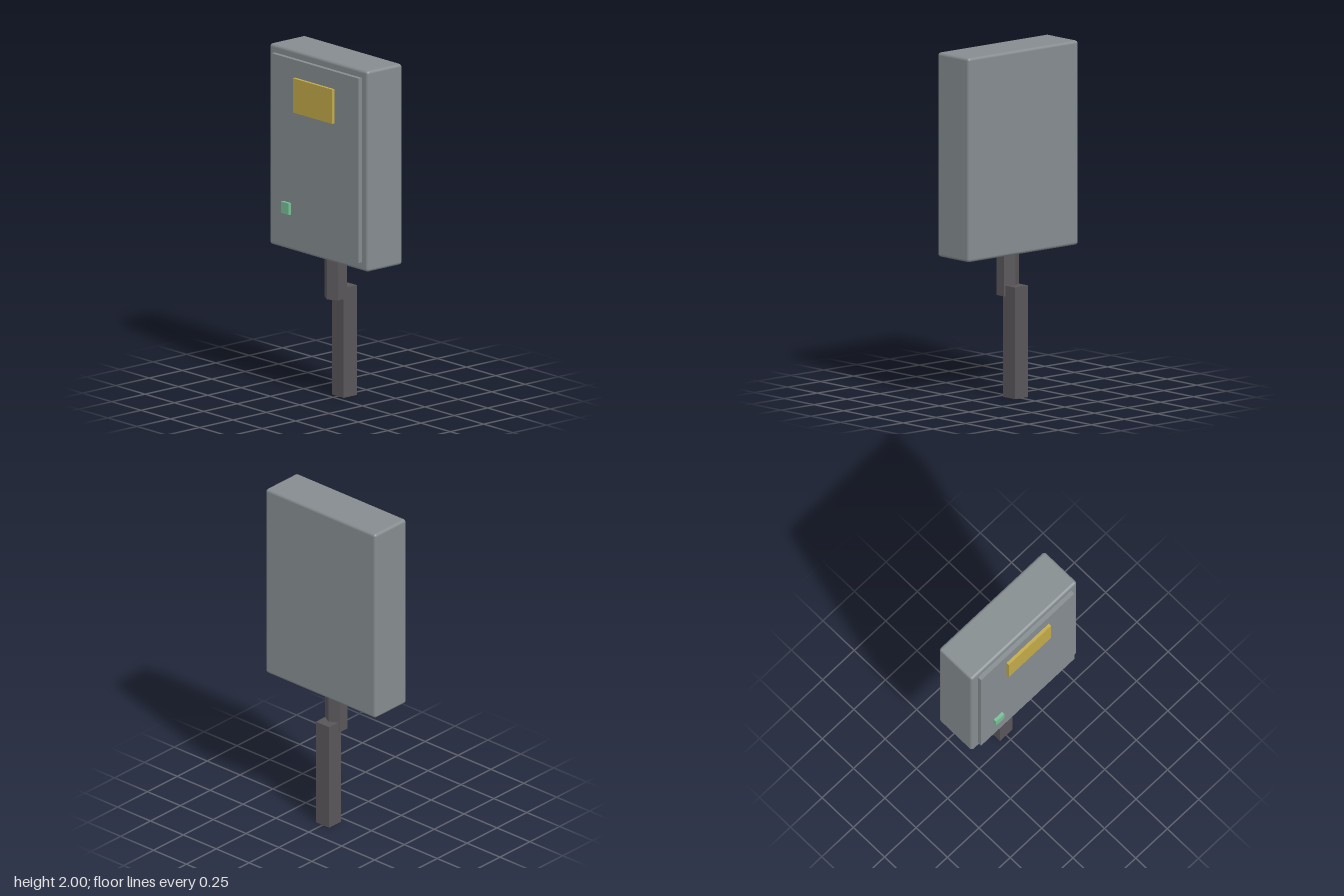
import * as THREE from 'three';
import { RoundedBoxGeometry } from 'three/addons/geometries/RoundedBoxGeometry.js';

const material = (name, color) => {
  const m = new THREE.MeshStandardMaterial({ color });
  m.name = name;
  return m;
};

export function createModel() {
  const group = new THREE.Group();
  group.name = 'postMountedBox';
  const grey = material('casing grey', 0x858c8f);
  const dark = material('post dark grey', 0x59565a);
  const yellow = material('label yellow', 0xc2aa48);
  const green = material('button green', 0x77c096);

  const add = (name, geometry, mat, x, y, z) => {
    const mesh = new THREE.Mesh(geometry, mat);
    mesh.name = name;
    mesh.position.set(x, y, z);
    group.add(mesh);
  };
  // Box given by its extents on each axis
  const addBox = (name, mat, [x0, x1], [y0, y1], [z0, z1]) =>
    add(name, new THREE.BoxGeometry(x1 - x0, y1 - y0, z1 - z0), mat,
      (x0 + x1) / 2, (y0 + y1) / 2, (z0 + z1) / 2);

  // Casing with softly rounded edges
  add('casing', new RoundedBoxGeometry(0.836, 1.17, 0.264, 3, 0.017), grey, 0, 1.415, -0.022);

  // Raised door, label plate and button on the front
  addBox('door', grey, [-0.37, 0.37], [0.88, 1.955], [0.09, 0.136]);
  addBox('label', yellow, [-0.168, 0.167], [1.653, 1.853], [0.13, 0.154]);
  addBox('button', green, [-0.27, -0.203], [1.048, 1.115], [0.13, 0.154]);

  // Six-sided neck under the casing
  const neck = new THREE.CylinderGeometry(0.066, 0.066, 0.27, 6).toNonIndexed();
  neck.computeVertexNormals();
  add('neck', neck, dark, 0, 0.713, -0.02);

  // Square post set behind the neck
  addBox('post', dark, [-0.05, 0.05], [0, 0.64], [-0.135, -0.036]);

  return group;
}
